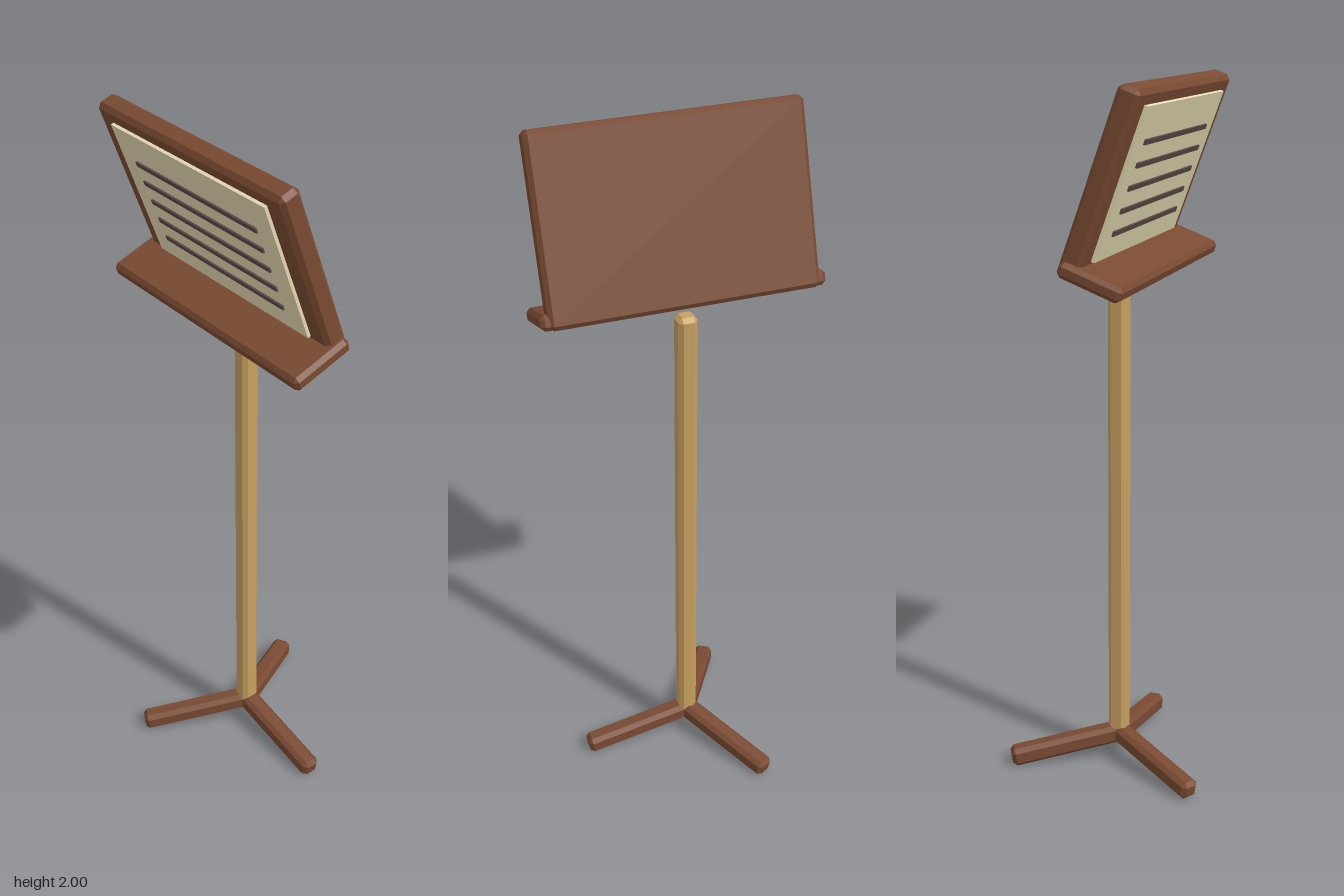
import * as THREE from 'three';
import { ConvexGeometry } from 'three/addons/geometries/ConvexGeometry.js';

function material(name, color) {
  const m = new THREE.MeshStandardMaterial({ color });
  m.name = name;
  return m;
}

// Box with all its edges cut at 45 degrees
function chamferedBox(w, h, d, c) {
  const points = [];
  for (const x of [-w / 2, w / 2])
    for (const y of [-h / 2, h / 2])
      for (const z of [-d / 2, d / 2]) {
        const ix = x - Math.sign(x) * c, iy = y - Math.sign(y) * c, iz = z - Math.sign(z) * c;
        points.push(
          new THREE.Vector3(x, iy, iz),
          new THREE.Vector3(ix, y, iz),
          new THREE.Vector3(ix, iy, z));
      }
  return new ConvexGeometry(points);
}

function addPart(parent, name, geometry, mat, x = 0, y = 0, z = 0) {
  const mesh = new THREE.Mesh(geometry, mat);
  mesh.name = name;
  mesh.position.set(x, y, z);
  parent.add(mesh);
  return mesh;
}

export function createModel() {
  const brown = material('dark wood', 0x7a4a33);
  const tan = material('light wood', 0xc8a060);
  const cream = material('paper', 0xe6dab2);
  const ink = material('ink', 0x5a4a46);

  const model = new THREE.Group();
  model.name = 'musicStand';

  // Upright post
  addPart(model, 'post', chamferedBox(0.055, 1.43, 0.055, 0.012), tan, 0, 0.785, 0);

  // Three feet, sloping down and outwards
  const footGeometry = chamferedBox(0.335, 0.055, 0.055, 0.012);
  for (let i = 0; i < 3; i++) {
    const arm = new THREE.Group();
    arm.name = 'footArm';
    arm.rotation.y = (i * Math.PI * 2) / 3;
    model.add(arm);
    const foot = addPart(arm, 'foot', footGeometry, brown, 0.16, 0.055, 0);
    foot.rotation.z = -THREE.MathUtils.degToRad(10);
  }

  // Tilted desk: board, paper and ruled lines
  const tilt = THREE.MathUtils.degToRad(20);
  const desk = new THREE.Group();
  desk.name = 'desk';
  desk.position.set(0, 1.7575, 0.0825);
  desk.rotation.x = tilt;
  model.add(desk);
  addPart(desk, 'board', chamferedBox(0.745, 0.5, 0.06, 0.012), brown);
  addPart(desk, 'paper', new THREE.BoxGeometry(0.62, 0.412, 0.009), cream, 0, 0.006, 0.0345);
  for (let i = 0; i < 5; i++)
    addPart(desk, 'staffLine', new THREE.BoxGeometry(0.49, 0.014, 0.006), ink, 0, 0.116 - i * 0.0615, 0.041);

  // Ledge square to the board
  const ledge = addPart(model, 'ledge', chamferedBox(0.785, 0.042, 0.18, 0.011), brown, 0, 1.521, 0.068);
  ledge.rotation.x = tilt;

  return model;
}
